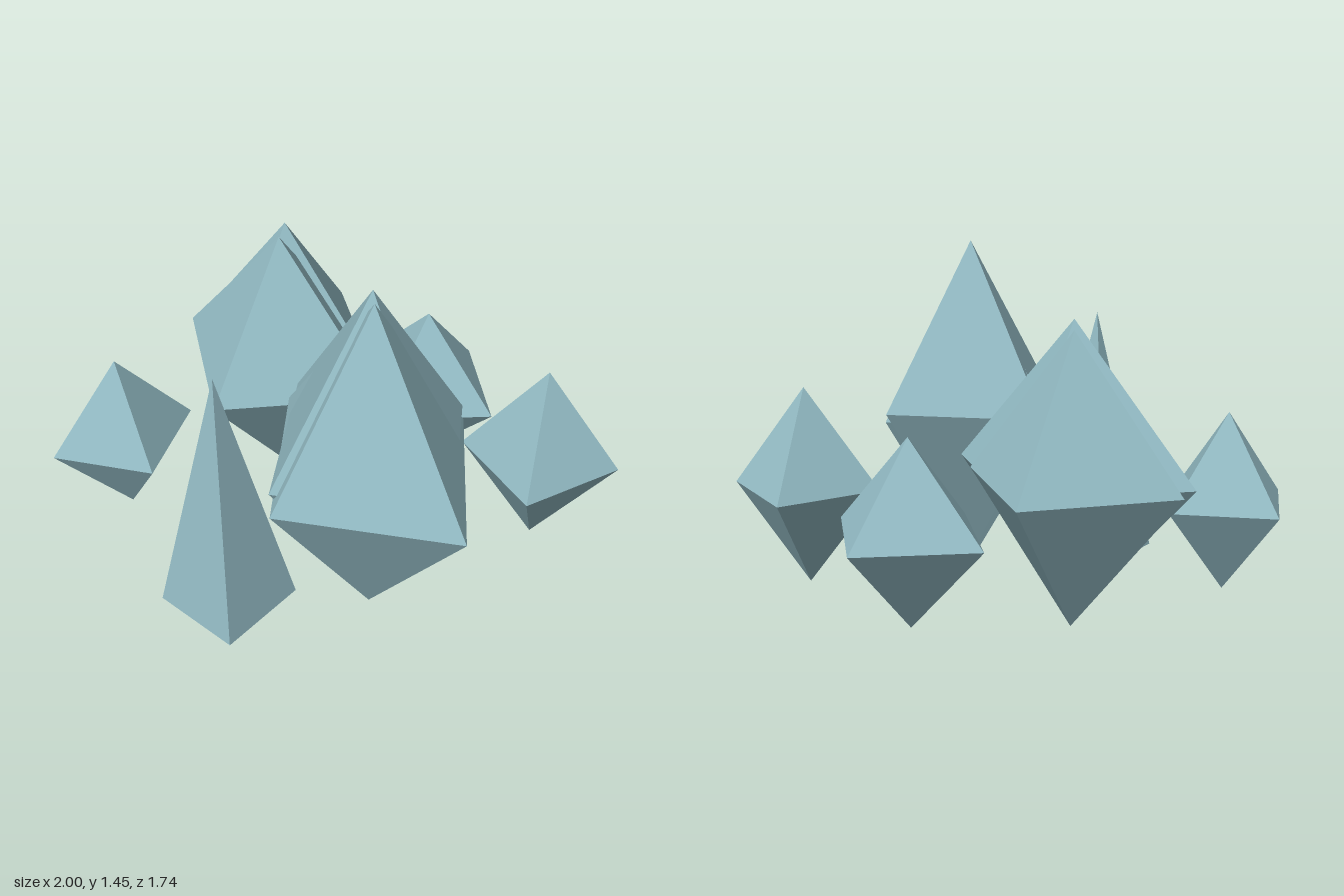
import * as THREE from 'three';

export function createModel() {
  const group = new THREE.Group();
  const crystalBlue = new THREE.MeshStandardMaterial({ color: 0x92bac3, flatShading: true });
  crystalBlue.name = 'crystalBlue';

  // Eight-sided crystal: centre x/z, bottom and top heights, half diagonals, turn about y
  function addCrystal(name, x, z, bottom, top, halfX, halfZ, yaw) {
    const mesh = new THREE.Mesh(new THREE.OctahedronGeometry(1), crystalBlue);
    mesh.name = name;
    mesh.position.set(x, (bottom + top) / 2, z);
    mesh.scale.set(halfX, (top - bottom) / 2, halfZ);
    mesh.rotation.y = yaw;
    group.add(mesh);
  }

  // Large twin crystal
  addCrystal('largeCrystal', 0.41, 0.305, 0.0, 1.43, 0.522, 0.457, -0.212);
  addCrystal('largeCrystalTwin', 0.37, 0.265, 0.06, 1.45, 0.486, 0.444, -0.255);

  // Medium twin crystal
  addCrystal('mediumCrystal', -0.385, -0.075, 0.05, 1.22, 0.507, 0.457, 0.089);
  addCrystal('mediumCrystalTwin', -0.468, -0.2, 0.07, 1.2, 0.44, 0.423, 0.12);

  // Small single crystals
  addCrystal('smallRightCrystal', -0.72, 0.555, 0.05, 0.8, 0.296, 0.308, -0.33);
  addCrystal('smallLeftCrystal', 0.708, -0.41, 0.05, 0.885, 0.317, 0.314, 0.42);
  addCrystal('smallBackCrystal', 0.036, -0.538, 0.05, 0.8, 0.355, 0.333, 0);

  // Tall four-sided spike with a square foot
  const spike = new THREE.Mesh(new THREE.ConeGeometry(0.2666, 1.08, 4, 1), crystalBlue);
  spike.name = 'spike';
  spike.rotation.y = Math.PI / 4;
  spike.position.set(-0.007, 0.59, 0.679);
  group.add(spike);

  return group;
}
